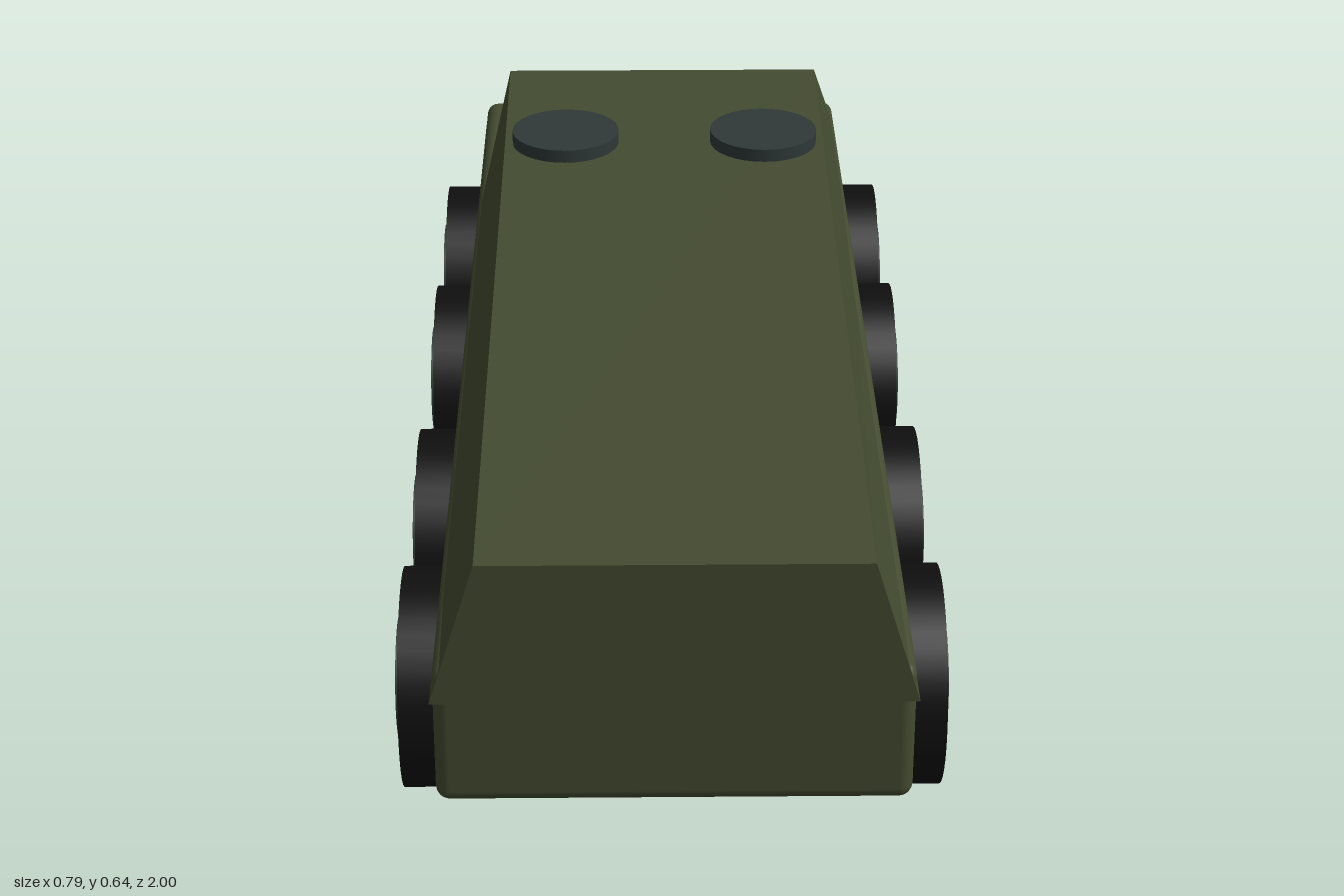
import * as THREE from 'three';
import { RoundedBoxGeometry } from 'three/addons/geometries/RoundedBoxGeometry.js';

const mat = (name, color) => {
  const m = new THREE.MeshStandardMaterial({ color });
  m.name = name;
  return m;
};

// Closed solid lofted through trapezoid sections listed from rear to front.
function loft(sections) {
  const pos = [];
  const rings = sections.map(({ z, bottom, top, y0, y1 }) => [
    [-bottom, y0, z], [bottom, y0, z], [top, y1, z], [-top, y1, z],
  ]);
  const quad = (a, b, c, d) => [a, b, c, a, c, d].forEach((p) => pos.push(...p));
  for (let i = 0; i < rings.length - 1; i++) {
    const a = rings[i], b = rings[i + 1];
    for (let j = 0; j < 4; j++) {
      const k = (j + 1) % 4;
      quad(a[k], a[j], b[j], b[k]);
    }
  }
  quad(...rings[0]);
  quad(...rings[rings.length - 1].slice().reverse());
  const g = new THREE.BufferGeometry();
  g.setAttribute('position', new THREE.Float32BufferAttribute(pos, 3));
  g.computeVertexNormals();
  return g;
}

export function createModel() {
  const model = new THREE.Group();
  model.name = 'armouredCarrier';
  const olive = mat('olive armour', 0x434b30);
  const rubber = mat('black rubber', 0x0f0f0f);
  const steel = mat('dark steel', 0x2f3838);

  const add = (parent, name, geometry, material, x = 0, y = 0, z = 0) => {
    const mesh = new THREE.Mesh(geometry, material);
    mesh.name = name;
    mesh.position.set(x, y, z);
    parent.add(mesh);
    return mesh;
  };

  // Lower hull tub with softened edges
  add(model, 'lowerHull', new RoundedBoxGeometry(0.652, 0.213, 2, 3, 0.02), olive, 0, 0.2645, 0);

  // Sloped upper hull: tall ridge, long falling deck and short steep nose
  add(model, 'upperHull', loft([
    { z: 1, bottom: 0.33, top: 0.265, y0: 0.32, y1: 0.535 },
    { z: -0.54, bottom: 0.33, top: 0.263, y0: 0.32, y1: 0.615 },
    { z: -1, bottom: 0.33, top: 0.27, y0: 0.32, y1: 0.4 },
  ]), olive);

  // Four wheels on each side, hubs standing slightly proud
  const tire = new THREE.CylinderGeometry(0.16, 0.16, 0.094, 40).rotateZ(Math.PI / 2);
  const hub = new THREE.CylinderGeometry(0.09, 0.09, 0.04, 32).rotateZ(Math.PI / 2);
  for (const side of [-1, 1]) {
    for (const z of [0.68, 0.26, -0.26, -0.68]) {
      const wheel = new THREE.Group();
      wheel.name = side > 0 ? 'leftWheel' : 'rightWheel';
      wheel.position.set(side * 0.34, 0.16, z);
      add(wheel, 'tire', tire, rubber);
      add(wheel, 'hub', hub, steel, side * 0.035);
      model.add(wheel);
    }
    // Round roof hatch
    add(model, side > 0 ? 'leftHatch' : 'rightHatch',
      new THREE.CylinderGeometry(0.087, 0.087, 0.021, 32), steel, side * 0.162, 0.628, -0.22);
  }
  return model;
}
